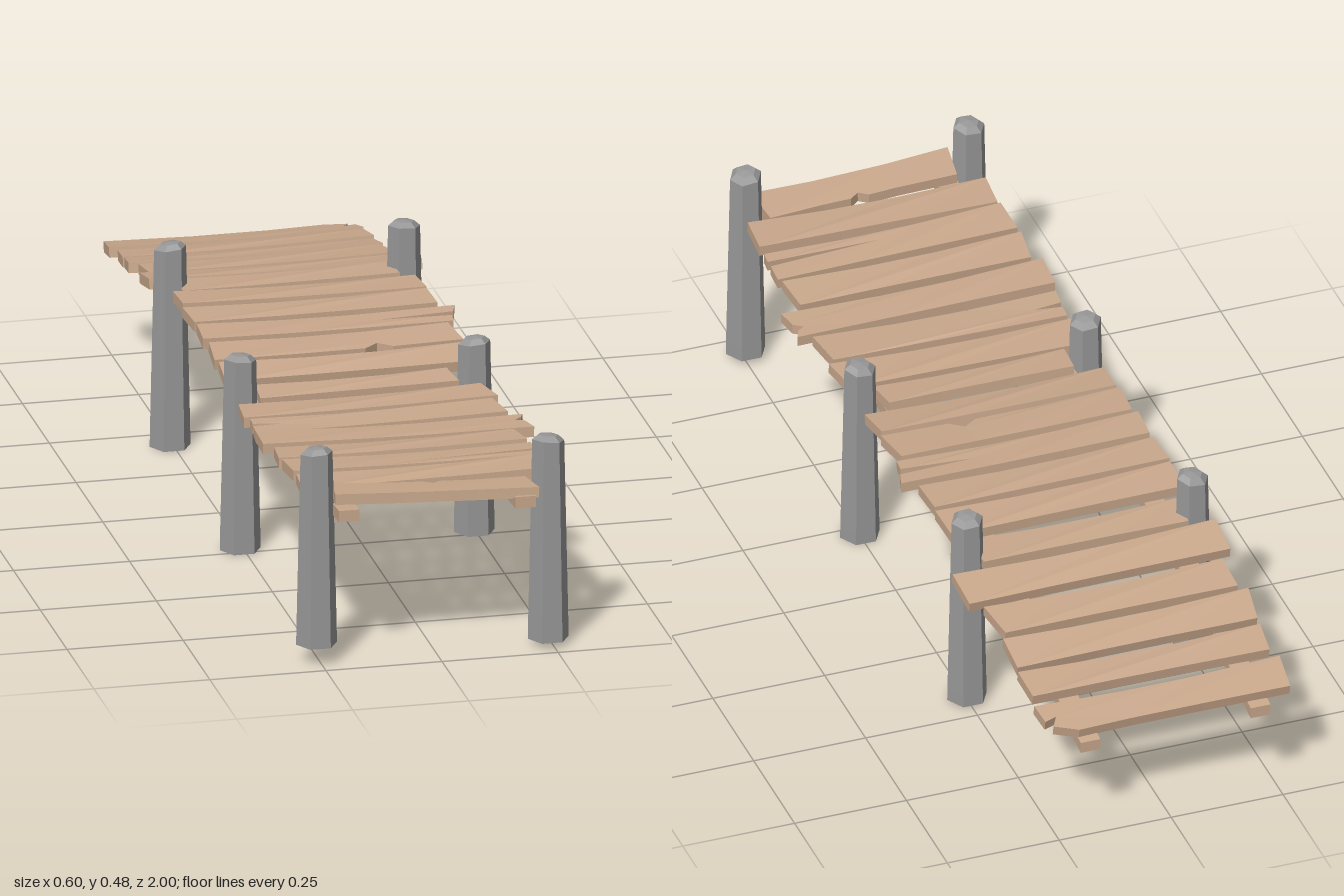
import * as THREE from 'three';

const wood = new THREE.MeshStandardMaterial({ color: 0xc9a88c, flatShading: true });
wood.name = 'weathered wood';
const grey = new THREE.MeshStandardMaterial({ color: 0x979797, flatShading: true });
grey.name = 'grey post';

// Height of the rail centre line along the walkway, as [z, y]
const line = [[-1, 0.222], [-0.45, 0.322], [-0.3, 0.334], [-0.15, 0.334], [0, 0.328],
  [0.15, 0.315], [0.3, 0.305], [0.45, 0.309], [0.65, 0.321], [1, 0.341]];

function railY(z) {
  let i = 0;
  while (i < line.length - 2 && z > line[i + 1][0]) i++;
  const [z0, y0] = line[i], [z1, y1] = line[i + 1];
  return y0 + (y1 - y0) * (z - z0) / (z1 - z0);
}

let seed = 7;
const jitter = (a) => {
  seed = (seed * 16807) % 2147483647;
  return (seed / 2147483647 * 2 - 1) * a;
};

function mesh(geometry, material, name) {
  const m = new THREE.Mesh(geometry, material);
  m.name = name;
  return m;
}

// Bent beam running under the planks
function rail(x, name) {
  const pts = [...line.map(([z, y]) => new THREE.Vector2(-z, y + 0.0125)),
    ...[...line].reverse().map(([z, y]) => new THREE.Vector2(-z, y - 0.0125))];
  const g = new THREE.ExtrudeGeometry(new THREE.Shape(pts), { depth: 0.044, bevelEnabled: false });
  g.rotateY(Math.PI / 2).translate(x - 0.022, 0, 0);
  return mesh(g, wood, name);
}

// Plank outline with optional cuts in its edges, extruded upward and sagging in the middle
function plank({ z0, z1, x0 = -0.272, x1 = 0.264, cut = {}, roll }) {
  const zc = (z0 + z1) / 2, h = (z1 - z0) / 2, t = 0.023, waist = 0.005;
  const { front, back, right = [], left = [] } = cut;
  const outline = [
    [x0 + jitter(0.008), h],
    ...(front || [[-0.08, h - waist], [0.08, h - waist]]),
    [x1 + jitter(0.006), h],
    ...right,
    ...(cut.corner || [[x1 - 0.006 + jitter(0.008), -h]]),
    ...(back || [[0.08, -h + waist], [-0.08, -h + waist]]),
    [x0 + 0.004 + jitter(0.008), -h],
    ...left,
  ];
  const shape = new THREE.Shape(outline.map(([x, z]) => new THREE.Vector2(x, -z)));
  const g = new THREE.ExtrudeGeometry(shape, { depth: t, bevelEnabled: false });
  g.rotateX(-Math.PI / 2);
  const p = g.attributes.position;
  for (let i = 0; i < p.count; i++) {
    const u = p.getX(i) / 0.27;
    p.setY(i, p.getY(i) - t / 2 - 0.004 * (1 - u * u));
  }
  g.computeVertexNormals();
  const m = mesh(g, wood, 'plank');
  const slope = (railY(zc + 0.03) - railY(zc - 0.03)) / 0.06;
  m.position.set(0, railY(zc) + 0.026, zc);
  m.rotation.set(-Math.atan(slope) + jitter(0.05), jitter(0.008), roll ?? jitter(0.014));
  return m;
}

const planks = [
  { z0: -0.985, z1: -0.895, cut: { right: [[0.262, -0.005], [0.235, 0.004], [0.25, -0.022]], corner: [[0.2, -0.045]] } },
  { z0: -0.87, z1: -0.79 },
  { z0: -0.775, z1: -0.687, x0: -0.282 },
  { z0: -0.675, z1: -0.585 },
  { z0: -0.568, z1: -0.475, x0: -0.292, x1: 0.293 },
  { z0: -0.465, z1: -0.38, x0: -0.235, x1: 0.23 },
  { z0: -0.355, z1: -0.265 },
  { z0: -0.252, z1: -0.163 },
  { z0: -0.145, z1: -0.058, x0: -0.265, x1: 0.27, cut: { right: [[0.272, 0.012], [0.115, 0.001], [0.28, -0.008]], corner: [[0.29, -0.042]] } },
  { z0: -0.045, z1: 0.05, cut: { front: [[-0.08, 0.044], [0.055, 0.044], [0.085, 0.022], [0.115, 0.046]] } },
  { z0: 0.062, z1: 0.15 },
  { z0: 0.178, z1: 0.252, x0: -0.215, x1: 0.208 },
  { z0: 0.268, z1: 0.36 },
  { z0: 0.372, z1: 0.465, cut: { left: [[-0.27, -0.014], [-0.21, -0.004], [-0.272, 0.002]] } },
  { z0: 0.48, z1: 0.57, x0: -0.292, x1: 0.293, cut: { right: [[0.288, 0], [0.268, -0.012], [0.285, -0.025]] } },
  { z0: 0.585, z1: 0.672 },
  { z0: 0.685, z1: 0.777, cut: { right: [[0.263, 0.018], [0.015, 0.016], [0.262, 0.002]] } },
  { z0: 0.79, z1: 0.883 },
  { z0: 0.898, z1: 0.99, x0: -0.222, x1: 0.206, roll: -0.04, cut: { back: [[0.08, -0.041], [0.02, -0.042], [0, -0.028], [-0.02, -0.042], [-0.08, -0.041]] } },
];

// Tapered six-sided post with a worn, sloping cap
function post(x, z, bottom, top, tilt, name) {
  const profile = [[0, 0], [0.044, 0], [0.0435, 0.03], [0.0345, top - bottom - 0.014],
    [0.022, top - bottom - 0.003], [0, top - bottom]];
  const g = new THREE.LatheGeometry(profile.map(([r, y]) => new THREE.Vector2(r, y)), 6, Math.PI / 6);
  const p = g.attributes.position;
  for (let i = 0; i < p.count; i++) {
    if (p.getY(i) > 0.3) p.setY(i, p.getY(i) + tilt * p.getX(i) + 0.1 * p.getZ(i));
  }
  const flat = g.toNonIndexed();
  flat.computeVertexNormals();
  const m = mesh(flat, grey, name);
  m.position.set(x, bottom, z);
  return m;
}

export function createModel() {
  const group = new THREE.Group();
  group.name = 'walkway';

  group.add(rail(0.18, 'leftRail'), rail(-0.2, 'rightRail'));

  const deck = new THREE.Group();
  deck.name = 'deck';
  planks.forEach((p) => deck.add(plank(p)));
  group.add(deck);

  group.add(
    post(-0.256, 0.938, 0.04, 0.479, 0.06, 'frontRightPost'),
    post(0.243, 0.938, 0.013, 0.468, -0.1, 'frontLeftPost'),
    post(-0.256, 0.225, 0, 0.436, -0.08, 'middleRightPost'),
    post(0.248, 0.225, 0, 0.434, 0.08, 'middleLeftPost'),
    post(-0.256, -0.43, 0, 0.455, 0.1, 'backRightPost'),
    post(0.248, -0.43, 0.004, 0.464, -0.06, 'backLeftPost'),
  );
  return group;
}
